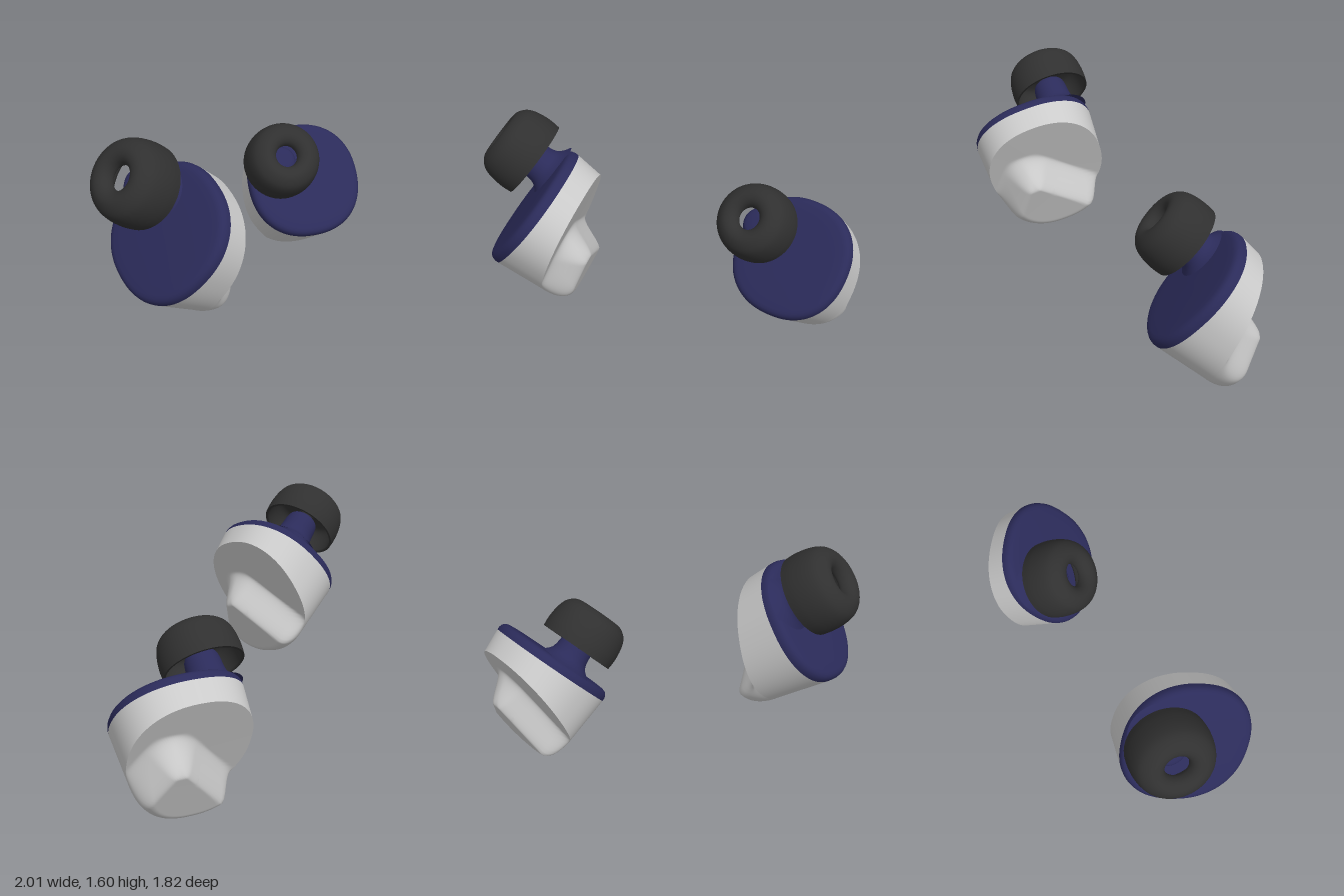
import * as THREE from 'three';

const GREY = new THREE.MeshStandardMaterial({ color: 0xcccccc, side: THREE.DoubleSide });
const BLUE = new THREE.MeshStandardMaterial({ color: 0x2b2b5a, side: THREE.DoubleSide });
const BLACK = new THREE.MeshStandardMaterial({ color: 0x303030, side: THREE.DoubleSide });

const COLS = 128;
const RADIUS = 0.397;
const TIP_X = -0.205, TIP_Y = 0.107;

// Slightly squared circle seen along the bud's axis (local z)
function outline(angle) {
  const c = Math.cos(angle), s = Math.sin(angle), e = 2.25;
  const r = RADIUS / Math.pow(Math.pow(Math.abs(c), e) + Math.pow(Math.abs(s), e), 1 / e);
  return [r * c, r * s];
}

// Smooth skin over closed loops: point(row, angle) gives [x, y, z]
function loopSurface(rows, point) {
  const pos = [], index = [];
  for (let i = 0; i < rows; i++)
    for (let j = 0; j < COLS; j++) pos.push(...point(i, (j / COLS) * Math.PI * 2));
  for (let i = 0; i < rows - 1; i++)
    for (let j = 0; j < COLS; j++) {
      const k = (j + 1) % COLS;
      const a = i * COLS + j, b = a + COLS, c = (i + 1) * COLS + k, d = i * COLS + k;
      index.push(a, b, d, b, c, d);
    }
  const g = new THREE.BufferGeometry();
  g.setAttribute('position', new THREE.Float32BufferAttribute(pos, 3));
  g.setIndex(index);
  g.computeVertexNormals();
  return g;
}

const smooth = (d, w) => THREE.MathUtils.smoothstep(d, 0, w);
const backPlane = (y) => -0.27 + 0.285 * y; // slanted outer face

// Raised grip on the outer face: a plateau bounded by three lines and a rounded rim
function gripHeight(x, y, rimDistance) {
  const side = 0.76 * (x - 0.02) - 0.65 * (y - 0.15);
  const end = -0.84 * (x - 0.24) - 0.54 * (y - 0.17);
  const top = 0.17 - y;
  const q = 1 - Math.min(1, rimDistance / 0.11);
  return 0.19 * smooth(side, 0.11) * smooth(end, 0.13) * smooth(top, 0.1) * Math.sqrt(1 - q * q);
}

// Rim of the tapered housing where the wall meets the outer face
function rim(angle) {
  const [x, y] = outline(angle);
  const z = backPlane(y), s = 1 + 0.18 * z;
  return { x: x * s, y: y * s, flatY: y, z };
}

function housingWall() {
  const rows = 10;
  return loopSurface(rows, (i, a) => {
    const [x, y] = outline(a), r = rim(a), t = i / (rows - 1);
    return [x + (r.x - x) * t, y + (r.y - y) * t, -0.015 + (r.z + 0.015) * t];
  });
}

function outerFace() {
  const rows = 64;
  return loopSurface(rows, (i, a) => {
    const r = rim(a), t = 1 - Math.pow(i / (rows - 1), 1.6);
    const x = r.x * t, y = r.y * t;
    const rimDistance = Math.hypot(r.x, r.y) * (1 - t);
    return [x, y, backPlane(r.flatY * t) - gripHeight(x, y, rimDistance)];
  });
}

// Rounded inner plate: [scale of outline, height]
function innerPlate() {
  const rings = [[0, 0.058], [0.4, 0.057], [0.75, 0.054], [0.88, 0.05], [0.93, 0.045],
    [0.965, 0.036], [0.988, 0.022], [1, 0.004], [1, -0.015]];
  return loopSurface(rings.length, (i, a) => {
    const [x, y] = outline(a);
    return [x * rings[i][0], y * rings[i][0], rings[i][1]];
  });
}

// Turned part whose axis runs along local z, from smooth profile points [radius, z]
function turned(points, closed, material, name) {
  const curve = new THREE.SplineCurve(points.map(([r, z]) => new THREE.Vector2(r, z)));
  const profile = curve.getPoints(points.length * 5);
  if (closed) profile.push(profile[0].clone());
  const g = new THREE.LatheGeometry(profile, 72).rotateX(Math.PI / 2);
  const m = new THREE.Mesh(g, material);
  m.name = name;
  m.position.set(TIP_X, TIP_Y, 0);
  return m;
}

function earbud(name) {
  const bud = new THREE.Group();
  bud.name = name;
  const add = (geometry, material, part) => {
    const m = new THREE.Mesh(geometry, material);
    m.name = part;
    bud.add(m);
  };
  add(housingWall(), GREY, 'housingWall');
  add(outerFace(), GREY, 'outerFaceWithGrip');
  add(innerPlate(), BLUE, 'innerPlate');

  // Nozzle flaring out of the plate
  bud.add(turned([[0.19, 0.04], [0.155, 0.062], [0.125, 0.095], [0.113, 0.14], [0.108, 0.2],
    [0.1, 0.24], [0.08, 0.262], [0.04, 0.27], [0, 0.271]], false, BLUE, 'nozzle'));

  // Hollow soft tip: outer wall, rolled front lip, bore, inner wall
  bud.add(turned([[0.246, 0.176], [0.25, 0.24], [0.243, 0.315], [0.225, 0.375], [0.195, 0.412],
    [0.155, 0.434], [0.115, 0.432], [0.085, 0.41], [0.073, 0.375], [0.085, 0.35],
    [0.14, 0.345], [0.195, 0.325], [0.222, 0.27], [0.232, 0.176]], true, BLACK, 'earTip'));
  return bud;
}

// Aim a bud: local z along axis, local y as near to up as possible
function place(bud, position, axis, up) {
  const z = new THREE.Vector3(...axis).normalize();
  const x = new THREE.Vector3(...up).cross(z).normalize();
  const y = z.clone().cross(x);
  bud.quaternion.setFromRotationMatrix(new THREE.Matrix4().makeBasis(x, y, z));
  bud.position.set(...position);
  return bud;
}

export function createModel() {
  const model = new THREE.Group();
  model.name = 'earbudPair';
  model.add(place(earbud('leftEarbud'), [0.605, 0.596, -0.534], [0, 0.667, 0.745], [0, 0.745, -0.667]));
  model.add(place(earbud('rightEarbud'), [-0.605, 1.055, 0.535], [-0.7, 0.615, 0.37], [0.689, 0.719, 0.073]));
  return model;
}
